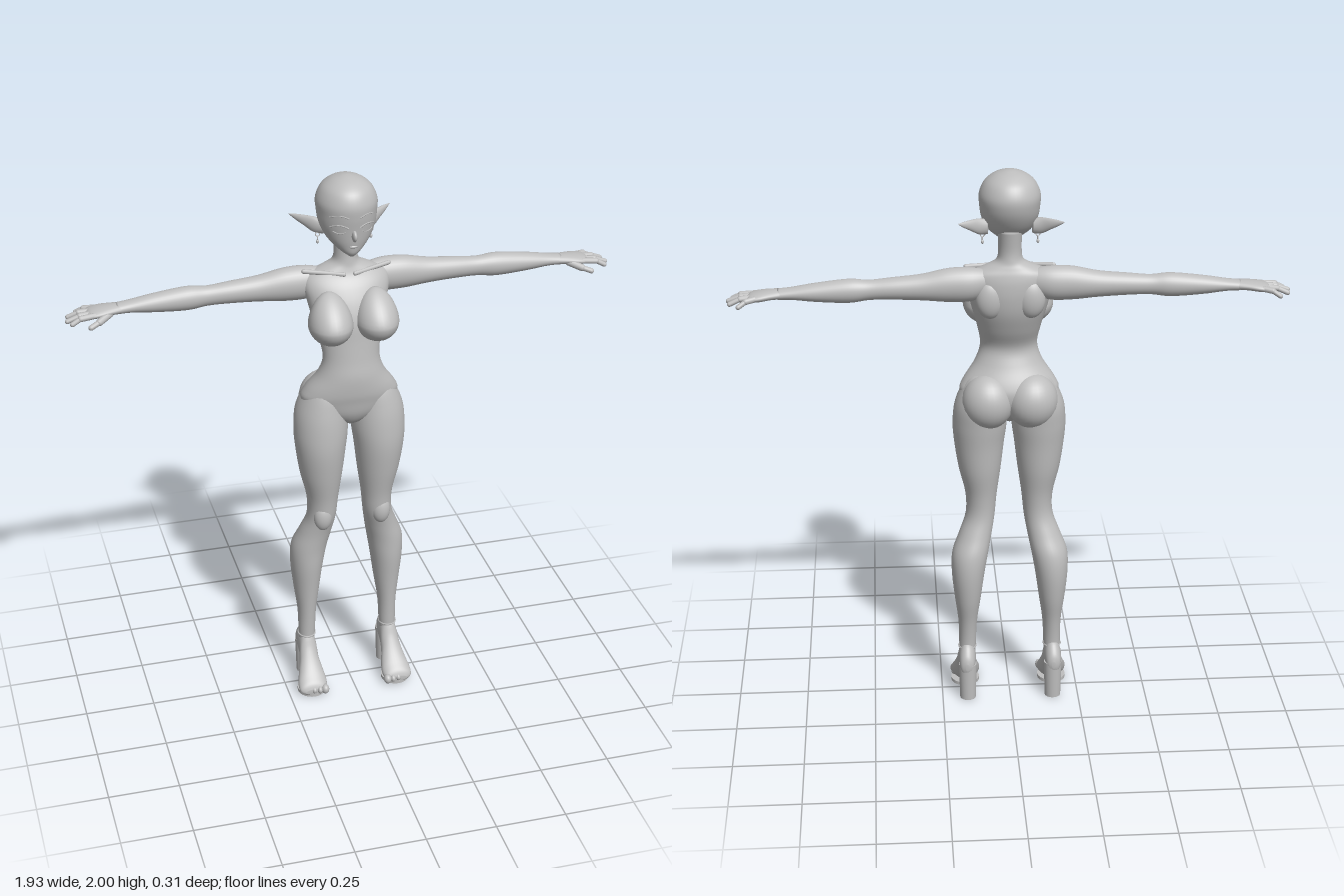
import * as THREE from 'three';

const grey = new THREE.MeshStandardMaterial({ color: 0xbebebe });
grey.name = 'plain grey';

// Smooth spline through table rows
function sample(rows, u) {
  const i = Math.min(Math.floor(u), rows.length - 2), t = u - i;
  const p = [i - 1, i, i + 1, i + 2].map(k => rows[Math.max(0, Math.min(rows.length - 1, k))]);
  return rows[0].map((_, c) => {
    const [a, b, d, e] = p.map(r => r[c]);
    return b + 0.5 * t * (d - a + t * (2 * a - 5 * b + 4 * d - e + t * (3 * (b - d) + e - a)));
  });
}

// Oval loft: each row is [position on axis, a0, a1, b0, b1]; the other axes are x,z / y,z / x,y
function loft(axis, rows, sides = 32, steps = 5) {
  const pos = [], idx = [], n = (rows.length - 1) * steps;
  const put = { y: (t, a, b) => [a, t, b], x: (t, a, b) => [t, a, b], z: (t, a, b) => [a, b, t] }[axis];
  const tri = (a, b, c) => (axis === 'y' ? idx.push(a, b, c) : idx.push(a, c, b));
  for (let i = 0; i <= n; i++) {
    const [t, a0, a1, b0, b1] = sample(rows, i / steps);
    for (let j = 0; j < sides; j++) {
      const w = j / sides * Math.PI * 2;
      pos.push(...put(t, (a0 + a1) / 2 + (a1 - a0) / 2 * Math.cos(w), (b0 + b1) / 2 + (b1 - b0) / 2 * Math.sin(w)));
      if (i < n) {
        const p = i * sides + j, q = i * sides + (j + 1) % sides;
        tri(p, p + sides, q);
        tri(q, p + sides, q + sides);
      }
    }
  }
  // Closed ends
  for (const i of [0, n]) {
    const [t, a0, a1, b0, b1] = sample(rows, i / steps), c = pos.length / 3;
    pos.push(...put(t, (a0 + a1) / 2, (b0 + b1) / 2));
    for (let j = 0; j < sides; j++) {
      const p = i * sides + j, q = i * sides + (j + 1) % sides;
      i ? tri(c, q, p) : tri(c, p, q);
    }
  }
  const g = new THREE.BufferGeometry();
  g.setAttribute('position', new THREE.Float32BufferAttribute(pos, 3));
  g.setIndex(idx);
  g.computeVertexNormals();
  return g;
}

const blob = (x, y, z, rx, ry, rz) => new THREE.SphereGeometry(1, 28, 20).scale(rx, ry, rz).translate(x, y, z);

// Capsule between two points
function rod(a, b, r) {
  const A = new THREE.Vector3(...a), B = new THREE.Vector3(...b), d = B.clone().sub(A);
  const q = new THREE.Quaternion().setFromUnitVectors(new THREE.Vector3(0, 1, 0), d.clone().normalize());
  return new THREE.CapsuleGeometry(r, d.length(), 5, 12).applyQuaternion(q).translate(...A.add(B).multiplyScalar(0.5).toArray());
}

function tube(points, r) {
  return new THREE.TubeGeometry(new THREE.CatmullRomCurve3(points.map(p => new THREE.Vector3(...p))), 14, r, 6);
}

// Mirror across x with the winding put right
function mirror(g) {
  const m = g.clone().scale(-1, 1, 1), ix = m.index.array;
  for (let i = 0; i < ix.length; i += 3) [ix[i + 1], ix[i + 2]] = [ix[i + 2], ix[i + 1]];
  const nor = m.attributes.normal, src = g.attributes.normal;
  for (let i = 0; i < nor.count; i++) nor.setXYZ(i, -src.getX(i), src.getY(i), src.getZ(i));
  return m;
}

export function createModel() {
  const model = new THREE.Group();
  model.name = 'mannequin';
  const add = (name, g) => {
    const m = new THREE.Mesh(g, grey);
    m.name = name;
    model.add(m);
  };
  const pair = (name, g) => {
    add('left ' + name, g);
    add('right ' + name, mirror(g));
  };
  const sym = rows => rows.map(([y, w, z0, z1]) => [y, -w, w, z0, z1]);

  // Torso and neck
  add('torso', loft('y', sym([
    [1.085, 0.015, -0.03, 0.02], [1.11, 0.06, -0.06, 0.06], [1.15, 0.14, -0.09, 0.085],
    [1.2, 0.174, -0.1, 0.097], [1.24, 0.16, -0.09, 0.105], [1.3, 0.119, -0.06, 0.108],
    [1.36, 0.1, -0.043, 0.1], [1.43, 0.11, -0.075, 0.092], [1.5, 0.128, -0.103, 0.085],
    [1.56, 0.142, -0.114, 0.066], [1.61, 0.152, -0.114, 0.04], [1.645, 0.14, -0.108, 0.015],
    [1.668, 0.09, -0.1, 0.005], [1.69, 0.048, -0.093, 0.0], [1.73, 0.04, -0.09, -0.003],
    [1.8, 0.042, -0.1, 0.0]]), 44));

  // Bust, fuller below and sloping into the chest above
  const bust = new THREE.SphereGeometry(1, 32, 24), bp = bust.attributes.position;
  for (let i = 0; i < bp.count; i++) {
    const y = bp.getY(i);
    if (y > 0) bp.setXYZ(i, bp.getX(i) * (1 - 0.12 * y), y * 1.45, bp.getZ(i) * (1 - 0.35 * y) - 0.25 * y * y);
  }
  bust.scale(0.077, 0.074, 0.094).translate(0.081, 1.503, 0.061).computeVertexNormals();
  pair('bust', bust);
  pair('buttock', blob(0.077, 1.17, -0.045, 0.092, 0.1, 0.09));
  pair('shoulder blade', blob(0.07, 1.56, -0.083, 0.05, 0.07, 0.035));
  pair('collarbone', rod([0.02, 1.655, 0.008], [0.15, 1.663, -0.035], 0.008));

  // Legs
  pair('leg', loft('y', [
    [0.13, 0.13, 0.185, -0.075, 0], [0.2, 0.125, 0.186, -0.065, 0.003], [0.3, 0.12, 0.188, -0.077, 0.01],
    [0.4, 0.106, 0.2, -0.1, 0.02], [0.5, 0.092, 0.21, -0.112, 0.032], [0.58, 0.078, 0.208, -0.106, 0.037],
    [0.65, 0.064, 0.182, -0.08, 0.045], [0.72, 0.052, 0.157, -0.06, 0.06], [0.8, 0.044, 0.157, -0.062, 0.07],
    [0.9, 0.03, 0.18, -0.08, 0.09], [1.0, 0.018, 0.195, -0.09, 0.104], [1.08, 0.008, 0.2, -0.1, 0.104],
    [1.16, 0.01, 0.19, -0.105, 0.095], [1.24, 0.03, 0.152, -0.08, 0.075], [1.28, 0.07, 0.11, -0.02, 0.03]]));
  pair('kneecap', blob(0.108, 0.73, 0.04, 0.034, 0.055, 0.03));

  // High-heeled feet
  pair('foot', loft('z', [
    [-0.106, 0.152, 0.165, 0.125, 0.15], [-0.095, 0.135, 0.183, 0.1, 0.18], [-0.06, 0.126, 0.189, 0.09, 0.215],
    [-0.01, 0.124, 0.19, 0.06, 0.205], [0.02, 0.121, 0.197, 0.025, 0.152], [0.05, 0.112, 0.208, 0.004, 0.108],
    [0.08, 0.108, 0.216, 0, 0.074], [0.105, 0.115, 0.213, 0.002, 0.05], [0.115, 0.13, 0.195, 0.01, 0.03]]));
  pair('heel', new THREE.CylinderGeometry(0.033, 0.029, 0.14, 24).translate(0.157, 0.07, -0.072));
  pair('sole', new THREE.CylinderGeometry(0.052, 0.052, 0.012, 28).scale(1, 1, 1.05).translate(0.162, 0.006, 0.062));
  for (let i = 0; i < 5; i++) {
    const r = i ? 0.0105 : 0.0145;
    pair('toe ' + (i + 1), blob(0.121 + i * 0.0205, 0.024, 0.11 - i * i * 0.0016, r, r + 0.004, 0.018));
  }
  pair('ankle strap', new THREE.TorusGeometry(0.034, 0.003, 6, 32).rotateX(Math.PI / 2)
    .scale(0.92, 1, 1.06).translate(0.156, 0.195, -0.031));

  // Arms
  pair('arm', loft('x', [
    [0.06, 1.58, 1.655, -0.09, -0.03], [0.13, 1.552, 1.669, -0.113, -0.02], [0.21, 1.55, 1.668, -0.115, -0.02],
    [0.3, 1.558, 1.65, -0.11, -0.028], [0.4, 1.563, 1.64, -0.106, -0.033], [0.48, 1.563, 1.633, -0.101, -0.038],
    [0.55, 1.555, 1.638, -0.108, -0.033], [0.66, 1.561, 1.626, -0.105, -0.036], [0.74, 1.57, 1.613, -0.1, -0.04],
    [0.79, 1.571, 1.607, -0.098, -0.038]]));

  // Hands
  pair('palm', loft('x', [
    [0.77, 1.573, 1.607, -0.096, -0.04], [0.81, 1.572, 1.606, -0.105, -0.032], [0.85, 1.568, 1.602, -0.115, -0.026],
    [0.88, 1.568, 1.595, -0.114, -0.03], [0.892, 1.576, 1.586, -0.1, -0.045]], 24));
  const fingers = [
    [0.92, -0.128, -0.104], [0.951, -0.094, -0.082], [0.957, -0.058, -0.06], [0.944, -0.03, -0.039]];
  fingers.forEach(([x, z, z0], i) => {
    const mid = [0.915, 1.58, (z + z0) / 2];
    if (!i) mid[0] = 0.895;
    pair('finger base ' + (i + 1), rod([0.865, 1.584, z0], mid, 0.0105));
    pair('finger tip ' + (i + 1), rod(mid, [x, 1.565, z], 0.0085));
  });
  pair('thumb base', rod([0.815, 1.582, -0.045], [0.855, 1.568, -0.018], 0.0125));
  pair('thumb tip', rod([0.855, 1.568, -0.018], [0.886, 1.558, -0.004], 0.0095));

  // Head
  add('head', loft('y', sym([
    [1.734, 0.008, 0.025, 0.043], [1.75, 0.033, -0.02, 0.055], [1.775, 0.06, -0.06, 0.061],
    [1.8, 0.08, -0.098, 0.066], [1.84, 0.097, -0.128, 0.072], [1.88, 0.103, -0.146, 0.078],
    [1.92, 0.104, -0.15, 0.079], [1.96, 0.086, -0.132, 0.063], [1.985, 0.055, -0.098, 0.03],
    [1.997, 0.022, -0.06, -0.008], [2.0, 0.001, -0.037, -0.035]]), 44));
  add('nose', blob(0, 1.819, 0.07, 0.009, 0.02, 0.021));
  add('lips', blob(0, 1.776, 0.056, 0.016, 0.006, 0.009));

  // Eyes and brows follow the curve of the face
  const faceZ = (x, y) => {
    const k = (y - 1.84) / 0.04;
    return -0.028 - 0.006 * k + (0.1 + 0.012 * k) * Math.sqrt(1 - (x / (0.097 + 0.006 * k)) ** 2);
  };
  const line = (lo, hi, y, lift, r) => tube([0, 0.25, 0.5, 0.75, 1].map(t => {
    const x = lo + (hi - lo) * t, h = y + lift * Math.sin(Math.PI * t);
    return [x, h, faceZ(x, h)];
  }), r);
  pair('upper lash', line(0.02, 0.075, 1.848, 0.01, 0.0028));
  pair('lower lash', line(0.028, 0.068, 1.833, -0.006, 0.0018));
  pair('brow', line(0.018, 0.078, 1.884, 0.01, 0.0022));

  // Pointed ears and drop earrings
  pair('ear', loft('x', [
    [0.075, 1.785, 1.838, -0.08, -0.04], [0.105, 1.788, 1.844, -0.09, -0.058], [0.135, 1.808, 1.845, -0.107, -0.083],
    [0.16, 1.825, 1.844, -0.12, -0.106], [0.177, 1.839, 1.842, -0.127, -0.124]], 20));
  pair('earring ring', new THREE.TorusGeometry(0.007, 0.0018, 6, 18).translate(0.094, 1.783, -0.06));
  pair('earring drop', rod([0.094, 1.775, -0.06], [0.094, 1.765, -0.06], 0.0025));
  pair('earring bead', blob(0.094, 1.757, -0.06, 0.005, 0.007, 0.005));
  return model;
}
